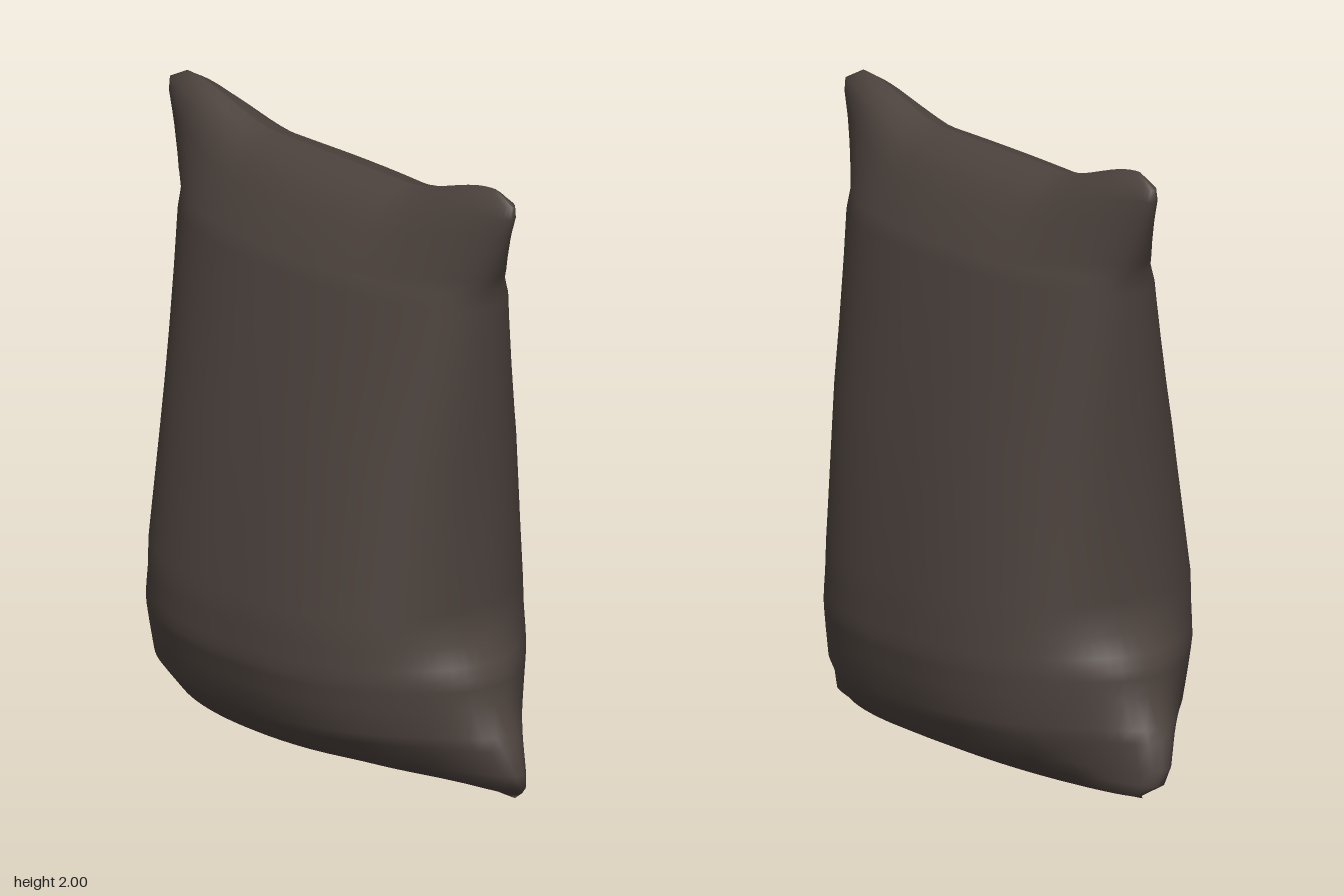
import * as THREE from 'three';

const { smoothstep } = THREE.MathUtils;

// Outline of the body seen from the front: height, left edge, right edge
const BODY = [
  [0, 0.05, 0.05], [0.012, -0.05, 0.2], [0.05, -0.2, 0.28], [0.1, -0.33, 0.38],
  [0.22, -0.43, 0.44], [0.4, -0.474, 0.466], [0.6, -0.468, 0.458], [1.09, -0.378, 0.407],
  [1.6, -0.245, 0.295], [1.78, -0.16, 0.21], [1.87, -0.085, 0.135], [1.898, -0.035, 0.08],
  [1.91, 0.02, 0.02],
];
// How far the corner ears stick out: height, length
const EARS = [
  [0, 0.14], [0.05, 0.2], [0.1, 0.205], [0.18, 0.18], [0.31, 0.1], [0.37, 0.1],
  [0.44, 0.07], [0.5, 0.015], [0.6, 0], [1.65, 0], [1.68, 0.03], [1.83, 0.11],
  [1.87, 0.11], [1.91, 0.03],
];
const SEGMENTS = 96;

// Reads one column of a profile at a given height
function sample(profile, y, column) {
  const i = Math.max(1, profile.findIndex((row) => row[0] >= y));
  const [low, high] = [profile[i - 1], profile[i]];
  return THREE.MathUtils.mapLinear(y, low[0], high[0], low[column], high[column]);
}

const power = (v, e) => Math.sign(v) * Math.abs(v) ** e;

function sackGeometry() {
  const heights = [...new Set([...BODY, ...EARS].map((row) => row[0]))].sort((a, b) => a - b);
  const positions = [];
  const index = [];

  heights.forEach((y, ring) => {
    const left = sample(BODY, y, 1);
    const right = sample(BODY, y, 2);
    const ear = sample(EARS, y, 1);
    const mid = (left + right) / 2;
    const half = (right - left) / 2;
    const depth = 0.64 + 0.05 * smoothstep(y, 1.1, 1.65);
    const earWidth = y < 1 ? 0.12 + 0.12 * smoothstep(y, 0.05, 0.37) : 0.14;
    const lift = 0.09 * smoothstep(y, 1.6, 1.83);
    // lens-shaped at top and bottom, fuller in between
    const roundness = 2 + 0.4 * smoothstep(y, 0, 0.25) * (1 - smoothstep(y, 1.4, 1.85));

    for (let i = 0; i < SEGMENTS; i++) {
      const t = (i / SEGMENTS) * Math.PI * 2;
      const x = mid + half * power(Math.cos(t), 2 / roundness);
      const s = power(Math.sin(t), 2 / roundness);
      // pull the cloth out into an ear around the middle of each side
      const bump = Math.exp(-(((x - mid / 2) / earWidth) ** 2)) * Math.abs(s) ** 3;
      const z = s * depth + Math.sign(s) * ear * bump;
      // raise the upper corners above the sagging top edge
      positions.push(x, y + lift * smoothstep(Math.abs(z), 0.3, 0.72), z);

      if (ring > 0) {
        const c = ring * SEGMENTS + i;
        const d = ring * SEGMENTS + ((i + 1) % SEGMENTS);
        index.push(c - SEGMENTS, c, d - SEGMENTS, d - SEGMENTS, c, d);
      }
    }
  });

  const geometry = new THREE.BufferGeometry();
  geometry.setAttribute('position', new THREE.Float32BufferAttribute(positions, 3));
  geometry.setIndex(index);
  geometry.computeVertexNormals();
  return geometry;
}

export function createModel() {
  const group = new THREE.Group();
  group.name = 'cushion';
  const cloth = new THREE.MeshStandardMaterial({ color: 0x4c423d });
  cloth.name = 'dark brown cloth';
  const sack = new THREE.Mesh(sackGeometry(), cloth);
  sack.name = 'stuffedSack';
  group.add(sack);
  return group;
}
